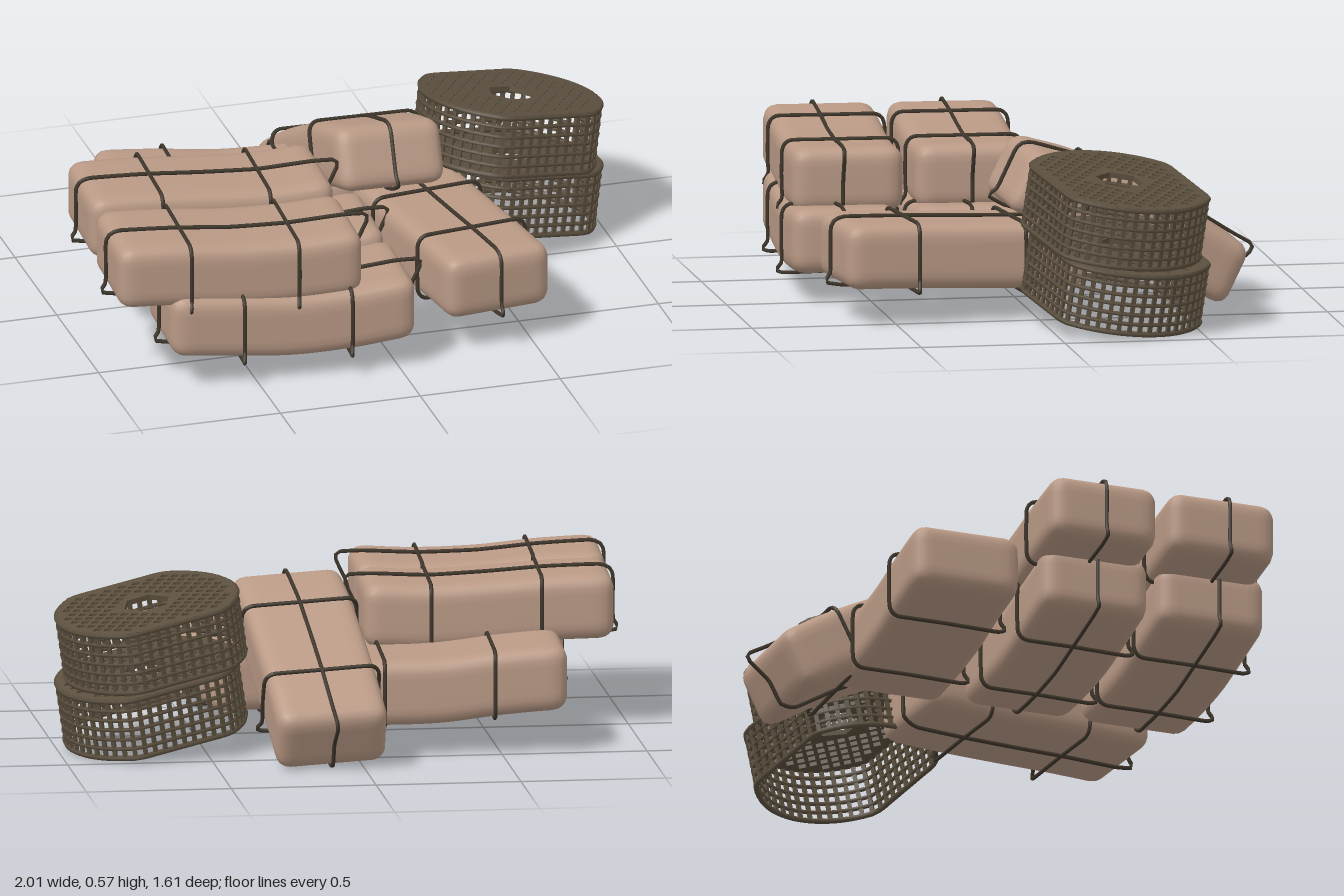
import * as THREE from 'three';
import { mergeGeometries, mergeVertices } from 'three/addons/utils/BufferGeometryUtils.js';

const cloth = new THREE.MeshStandardMaterial({ color: 0xba9a86 });
cloth.name = 'cloth wrapping';
const cord = new THREE.MeshStandardMaterial({ color: 0x3f372c });
cord.name = 'dark cord';
const wicker = new THREE.MeshStandardMaterial({ color: 0x5c503f });
wicker.name = 'woven cane';

const LEN = 0.86, HIGH = 0.225, WIDE = 0.385, ROUND = 0.05;

function mesh(name, geometry, material) {
  const m = new THREE.Mesh(geometry, material);
  m.name = name;
  return m;
}

// height of the sagging centre line at local x
function sagCurve(heights) {
  const pts = heights.map((y, i) => new THREE.Vector2((i / (heights.length - 1) - 0.5) * LEN, y));
  const spline = new THREE.SplineCurve(pts);
  return x => spline.getPoint(THREE.MathUtils.clamp(x / LEN + 0.5, 0, 1)).y;
}

// soft box with rounded edges, bent along the centre line
function bundleGeometry(sag) {
  let g = new THREE.BoxGeometry(LEN, HIGH, WIDE, 32, 10, 16);
  g.deleteAttribute('uv');
  g.deleteAttribute('normal');
  g = mergeVertices(g);
  const pos = g.attributes.position;
  const p = new THREE.Vector3(), inner = new THREE.Vector3();
  const lim = new THREE.Vector3(LEN / 2 - ROUND, HIGH / 2 - ROUND, WIDE / 2 - ROUND);
  const low = lim.clone().negate();
  for (let i = 0; i < pos.count; i++) {
    p.fromBufferAttribute(pos, i);
    inner.copy(p).clamp(low, lim);
    p.sub(inner).normalize().multiplyScalar(ROUND).add(inner);
    pos.setXYZ(i, p.x, p.y + sag(p.x), p.z);
  }
  g.computeVertexNormals();
  return g;
}

function ropeLoop(name, points) {
  const path = new THREE.CatmullRomCurve3(points.map(a => new THREE.Vector3(...a)), true, 'catmullrom', 0.2);
  return mesh(name, new THREE.TubeGeometry(path, 110, 0.007, 6, true), cord);
}

// cord around the girth of a bundle
function girthRope(x, sag) {
  const y = sag(x), h = HIGH / 2 + 0.005, w = WIDE / 2 + 0.008, c = 0.035;
  return ropeLoop('girthRope', [
    [x, y + h, -w + c], [x, y + h, 0], [x, y + h, w - c], [x, y + h - 0.012, w - 0.01],
    [x, y + h - c, w], [x, y, w + 0.002], [x, y - h + c, w],
    [x - 0.005, y - h + 0.005, w + 0.018], [x, y - h - 0.004, w - 0.01],
    [x, y - h, 0], [x, y - h, -w + c], [x, y - h + 0.012, -w + 0.01],
    [x, y - h + c, -w], [x, y, -w - 0.002], [x, y + h - c, -w], [x, y + h - 0.012, -w + 0.01],
  ]);
}

// loose cord running lengthways, standing off at the ends
function longRope(sag, z) {
  const h = HIGH / 2 + 0.006, e = LEN / 2;
  const steps = [-0.39, -0.2, 0, 0.2, 0.39];
  const top = steps.map(x => [x, sag(x) + h, z]);
  const bottom = steps.map(x => [x, sag(x) - h, z]).reverse();
  const a = sag(e), b = sag(-e);
  return ropeLoop('longRope', [
    ...top, [e + 0.045, a + h - 0.005, z], [e + 0.052, a + h - 0.03, z], [e + 0.012, a, z], [e + 0.008, a - h + 0.03, z],
    ...bottom, [-e - 0.025, b - h + 0.01, z], [-e - 0.024, b - h + 0.022, z], [-e - 0.009, b - h + 0.05, z],
    [-e - 0.009, b + h - 0.04, z], [-e + 0.005, b + h - 0.012, z],
  ]);
}

// angles are yaw, pitch and roll in degrees; ropeZ is null where no lengthways cord is tied
function bundle(name, [x, y, z], [yaw, pitch, roll], heights, ropeZ) {
  const g = new THREE.Group();
  g.name = name;
  const sag = sagCurve(heights);
  g.add(mesh('bundleBody', bundleGeometry(sag), cloth));
  g.add(girthRope(-0.18, sag), girthRope(0.2, sag));
  if (ropeZ !== null) g.add(longRope(sag, ropeZ));
  g.position.set(x, y, z);
  const rad = Math.PI / 180;
  g.rotation.set(roll * rad, yaw * rad, pitch * rad, 'YZX');
  return g;
}

// round basket outline with two flattened sides
const R = 0.312, FLAT = 0.262, TALL = 0.222;
function outline() {
  const pts = [];
  for (let i = 0; i < 72; i++) {
    const a = i / 72 * Math.PI * 2;
    pts.push(new THREE.Vector2(R * Math.cos(a), THREE.MathUtils.clamp(R * Math.sin(a), -FLAT, FLAT)));
  }
  return pts;
}

// perforated lid with a six-sided opening
function lidGeometry() {
  const shape = new THREE.Shape(outline());
  const cut = (x, y, r, n) => {
    const pts = [];
    for (let i = 0; i < n; i++) {
      const a = -i / n * Math.PI * 2;
      pts.push(new THREE.Vector2(x + r * Math.cos(a), y + r * Math.sin(a)));
    }
    shape.holes.push(new THREE.Path(pts));
  };
  cut(0, 0, 0.083, 6);
  for (let i = -16; i <= 16; i++) for (let j = -16; j <= 16; j++) {
    const x = (i + j) * 0.027, y = (i - j) * 0.027, d = Math.hypot(x, y);
    if (d > 0.108 && d < R - 0.03 && Math.abs(y) < FLAT - 0.03) cut(x, y, 0.0175, 4);
  }
  const g = new THREE.ExtrudeGeometry(shape, { depth: 0.018, bevelEnabled: false, curveSegments: 1 });
  return g.rotateX(Math.PI / 2);
}

// open lattice wall hanging below y = 0
function wallGeometry() {
  const parts = [];
  const count = 52, rows = 6;
  const pts = new THREE.Shape([...outline(), outline()[0]]).getSpacedPoints(count).slice(0, count);
  pts.forEach((p, i) => {
    const q = pts[(i + 1) % count], o = pts[(i + count - 1) % count];
    const bar = new THREE.BoxGeometry(0.015, TALL, 0.009);
    bar.rotateY(-Math.atan2(q.y - o.y, q.x - o.x));
    parts.push(bar.translate(p.x, -TALL / 2, p.y));
  });
  for (let k = 0; k <= rows; k++) {
    const r = k === 0 || k === rows ? 0.01 : 0.0075;
    const y = -0.008 - k / rows * (TALL - 0.016);
    const path = new THREE.CatmullRomCurve3(pts.map(p => new THREE.Vector3(p.x, y, p.y)), true);
    parts.push(new THREE.TubeGeometry(path, 72, r, 5, true));
  }
  return mergeGeometries(parts);
}

// a leaning basket, placed by the centre of its lid
function basket(name, y) {
  const g = new THREE.Group();
  g.name = name;
  g.add(mesh('basketWall', wallGeometry(), wicker), mesh('basketLid', lidGeometry(), wicker));
  const lean = new THREE.Vector3(0.16, 1, -0.12).normalize();
  g.quaternion.setFromUnitVectors(new THREE.Vector3(0, 1, 0), lean);
  g.rotateY(0.27);
  g.position.set(0.695, y, -0.245);
  return g;
}

export function createModel() {
  const model = new THREE.Group();
  model.name = 'cargoPile';
  const slack = [0.24, 0.22, 0.2, 0.205, 0.225];
  model.add(
    bundle('upperMiddleBundle', [-0.52, 0, 0.11], [-2.8, 0, 0], [0.43, 0.425, 0.41, 0.4, 0.41], 0),
    bundle('upperFrontBundle', [-0.545, 0, 0.535], [-2.8, 0, 0], [0.43, 0.42, 0.4, 0.395, 0.405], 0.02),
    bundle('lowerMiddleBundle', [-0.35, 0, 0.145], [-2.8, 0, 0], slack, 0),
    bundle('lowerFrontBundle', [-0.365, 0, 0.568], [-2.8, 0, 0], slack, 0.02),
    bundle('rearBundle', [-0.305, 0, -0.31], [-2.8, 0, 0], [0.265, 0.25, 0.225, 0.22, 0.225], null),
    bundle('frontRightBundle', [0.325, 0, 0.27], [97, 0, 0], [0.245, 0.24, 0.23, 0.222, 0.22], 0),
    bundle('leaningBundle', [0.147, 0.295, -0.335], [95.5, -25.5, 3], [-0.005, 0.025, 0.025, 0.015, -0.01], 0),
    basket('upperBasket', 0.515),
    basket('lowerBasket', 0.287),
  );
  return model;
}
